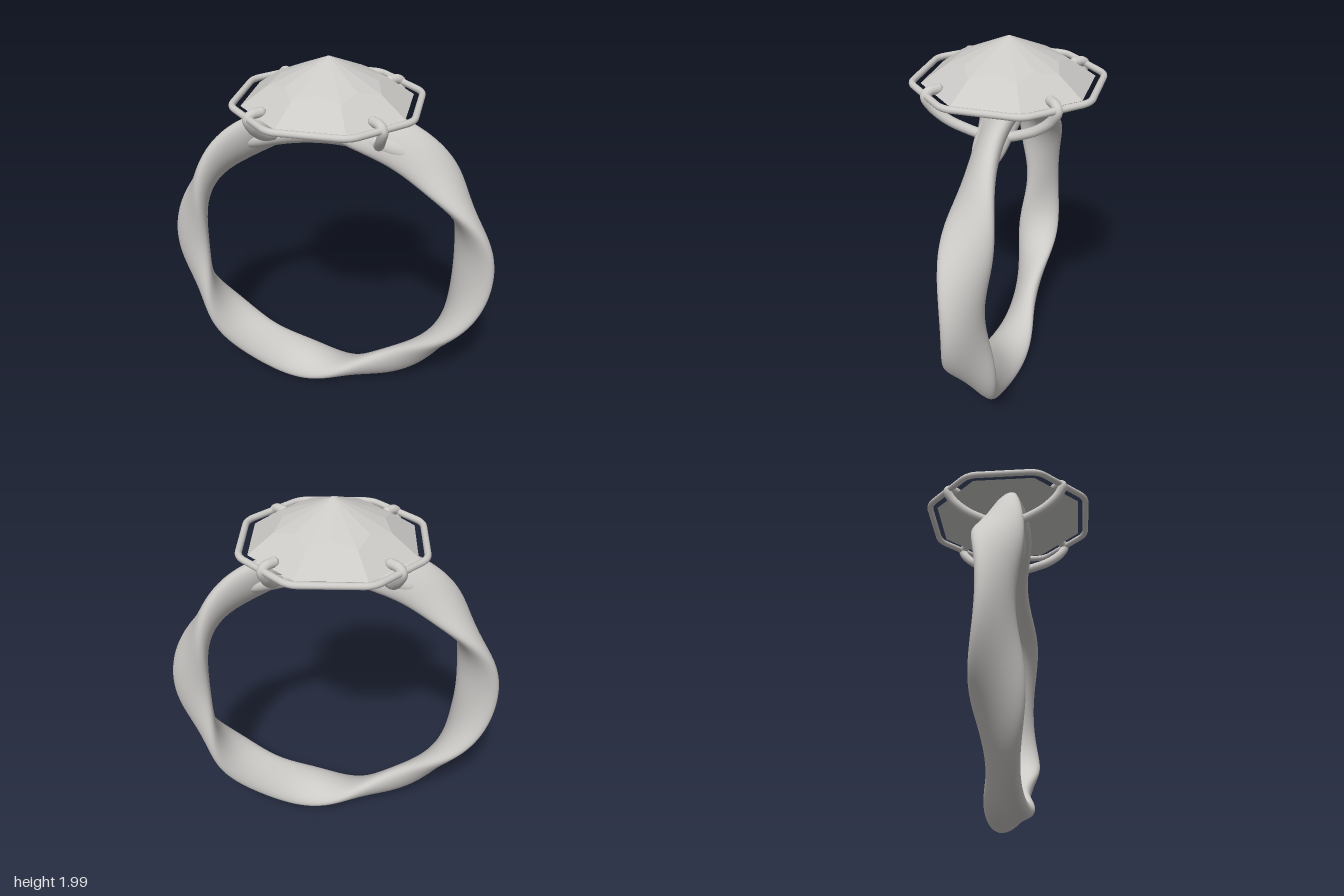
import * as THREE from 'three';
import { ConvexGeometry } from 'three/addons/geometries/ConvexGeometry.js';

const CENTRE_Y = 0.865;

// Sweeps an elliptical section around the finger axis.
// section(k), k in 0..1, gives { angle, radius, wide, thin, tilt }.
function sweepBand(section, steps, closed) {
  const sides = 40, pos = [], index = [];
  const rows = closed ? steps : steps + 1;
  for (let i = 0; i < rows; i++) {
    const { angle, radius, wide, thin, tilt } = section(i / steps);
    for (let j = 0; j < sides; j++) {
      const p = (j / sides) * Math.PI * 2;
      const u = wide * Math.cos(p), v = thin * Math.sin(p);
      const r = radius + u * Math.sin(tilt) + v * Math.cos(tilt);
      const z = u * Math.cos(tilt) - v * Math.sin(tilt);
      pos.push(r * Math.cos(angle), CENTRE_Y + r * Math.sin(angle), z);
    }
  }
  for (let i = 0; i < steps; i++) {
    const a = i * sides, b = ((i + 1) % rows) * sides;
    for (let j = 0; j < sides; j++) {
      const n = (j + 1) % sides;
      index.push(a + j, a + n, b + j, a + n, b + n, b + j);
    }
  }
  const geo = new THREE.BufferGeometry();
  geo.setAttribute('position', new THREE.Float32BufferAttribute(pos, 3));
  geo.setIndex(index);
  geo.computeVertexNormals();
  return geo;
}

export function createModel() {
  const group = new THREE.Group();
  const metal = new THREE.MeshStandardMaterial({ color: 0xcccac7 });
  metal.name = 'pale grey';
  const add = (name, geo, parent = group) => {
    const mesh = new THREE.Mesh(geo, metal);
    mesh.name = name;
    parent.add(mesh);
    return mesh;
  };

  // Band whose flat section rocks to and fro three times per turn
  add('twistedBand', sweepBand((k) => {
    const angle = k * Math.PI * 2;
    return { angle, radius: 0.792, wide: 0.126, thin: 0.061, tilt: Math.cos(3 * angle) };
  }, 240, true));

  // Round-ended reinforcing bar fused into the top of the band
  add('topSupport', sweepBand((k) => {
    const u = Math.sin((k - 0.5) * Math.PI);
    const s = Math.sqrt(Math.max(0, 1 - u ** 8));
    return {
      angle: Math.PI / 2 + u * 0.63, radius: 0.757 + 0.03 * u * u,
      wide: (0.095 - 0.02 * u * u) * s, thin: (0.071 - 0.013 * u * u) * s, tilt: 0,
    };
  }, 60, false));

  // Eight-sided wire frame with rounded corners
  const corners = [];
  for (const [sx, sz] of [[1, 1], [-1, 1], [-1, -1], [1, -1]]) {
    const pair = [[0.445, 0.19], [0.19, 0.445]].map(([x, z]) => new THREE.Vector3(x * sx, 1.78, z * sz));
    corners.push(...(sx * sz > 0 ? pair : pair.reverse()));
  }
  const framePath = new THREE.CurvePath();
  corners.forEach((c, i) => {
    const prev = corners[(i + 7) % 8], next = corners[(i + 1) % 8], after = corners[(i + 2) % 8];
    const toward = (a, b) => a.clone().add(b.clone().sub(a).setLength(0.05));
    framePath.add(new THREE.QuadraticBezierCurve3(toward(c, prev), c, toward(c, next)));
    framePath.add(new THREE.LineCurve3(toward(c, next), toward(next, c)));
  });
  add('wireFrame', new THREE.TubeGeometry(framePath, 240, 0.017, 12, true));

  // Four claws rising from the band and hooking over the stone
  for (const sx of [1, -1]) {
    for (const sz of [1, -1]) {
      const claw = new THREE.Group();
      claw.name = 'claw';
      const points = [
        [0.265, 1.59, 0.06], [0.272, 1.61, 0.12], [0.29, 1.655, 0.215], [0.308, 1.72, 0.29],
        [0.318, 1.775, 0.318], [0.3, 1.796, 0.303], [0.265, 1.799, 0.272],
      ].map(([x, y, z]) => new THREE.Vector3(x * sx, y, z * sz));
      add('clawWire', new THREE.TubeGeometry(new THREE.CatmullRomCurve3(points), 48, 0.025, 12), claw);
      for (const end of [points[0], points[6]]) {
        add('clawTip', new THREE.SphereGeometry(0.025, 14, 10), claw).position.copy(end);
      }
      group.add(claw);
    }
  }

  // Faceted stone: flat base, ring of crown points, central peak
  const stone = [new THREE.Vector3(0, 2, 0)];
  for (let i = 0; i < 8; i++) {
    const mid = (i * Math.PI) / 4;
    const corner = mid + Math.PI / 8;
    const onCrown = (r, a) => new THREE.Vector3(r * Math.cos(a), 2 - 0.44 * r, r * Math.sin(a));
    stone.push(onCrown(0.245, mid), onCrown(0.3, corner));
    stone.push(new THREE.Vector3(0.434 * Math.cos(corner), 1.775, 0.434 * Math.sin(corner)));
  }
  add('stone', new ConvexGeometry(stone));

  return group;
}
